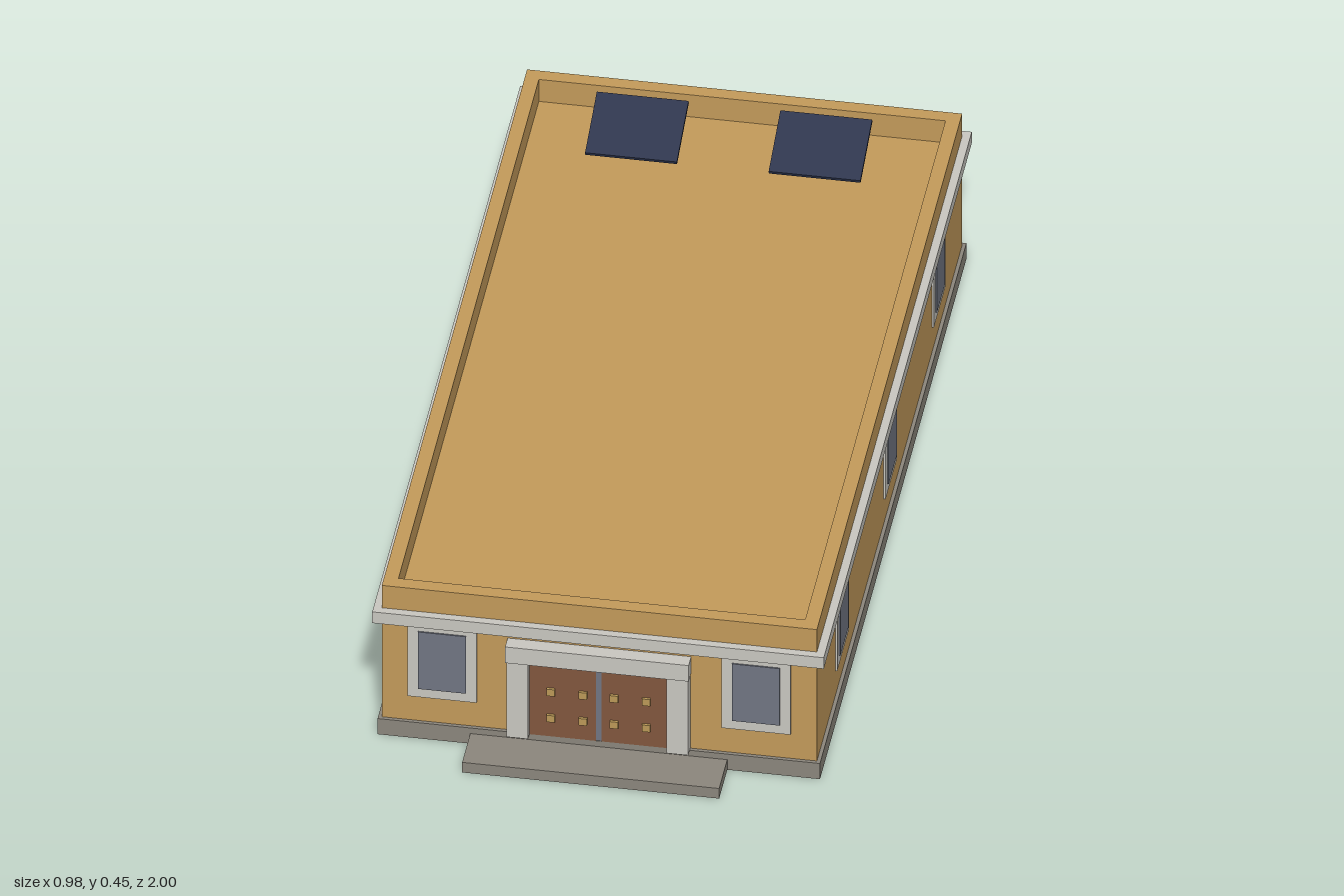
import * as THREE from 'three';

const mat = (name, color) => {
  const m = new THREE.MeshStandardMaterial({ color });
  m.name = name;
  return m;
};

export function createModel() {
  const ochre = mat('ochre wall', 0xc49b5b);
  const stone = mat('light stone', 0xcac8c1);
  const plinthGrey = mat('plinth grey', 0x8c877d);
  const wood = mat('door wood', 0x82573e);
  const glass = mat('window glass', 0x717683);
  const brass = mat('brass', 0xbc9a58);
  const panelBlue = mat('solar panel blue', 0x2a324c);

  const model = new THREE.Group();
  model.name = 'building';

  // Box given by its extents on each axis
  const box = (name, material, [x0, x1], [y0, y1], [z0, z1], parent = model) => {
    const mesh = new THREE.Mesh(new THREE.BoxGeometry(x1 - x0, y1 - y0, z1 - z0), material);
    mesh.position.set((x0 + x1) / 2, (y0 + y1) / 2, (z0 + z1) / 2);
    mesh.name = name;
    parent.add(mesh);
    return mesh;
  };

  const midZ = -0.0475, halfX = 0.474, halfZ = 0.935;
  const front = midZ + halfZ;
  const around = (grow) => [
    [-halfX - grow, halfX + grow],
    [midZ - halfZ - grow, midZ + halfZ + grow],
  ];
  const slab = (name, material, grow, y) => {
    const [x, z] = around(grow);
    return box(name, material, x, y, z);
  };

  // Main body
  slab('plinth', plinthGrey, 0.008, [0, 0.042]);
  slab('walls', ochre, 0, [0.042, 0.336]);
  box('entranceStep', plinthGrey, [-0.28, 0.28], [0, 0.027], [0.88, 1]);

  // Rectangular ring extruded upward
  const ring = (name, material, outer, inner, y0, y1) => {
    const rect = (path, g) => {
      const [[x0, x1], [z0, z1]] = around(g);
      path.moveTo(x0, -z1).lineTo(x1, -z1).lineTo(x1, -z0).lineTo(x0, -z0).closePath();
      return path;
    };
    const shape = rect(new THREE.Shape(), outer);
    shape.holes.push(rect(new THREE.Path(), inner));
    const geo = new THREE.ExtrudeGeometry(shape, { depth: y1 - y0, bevelEnabled: false });
    geo.rotateX(-Math.PI / 2).translate(0, y0, 0);
    const mesh = new THREE.Mesh(geo, material);
    mesh.name = name;
    model.add(mesh);
  };
  ring('cornice', stone, 0.018, -0.01, 0.305, 0.335);
  ring('parapet', ochre, 0, -0.031, 0.33, 0.395);

  // Windows, built facing +z around the wall plane
  const addWindow = (x, z, turn, framed) => {
    const g = new THREE.Group();
    g.name = 'window';
    if (framed) box('windowFrame', stone, [-0.075, 0.075], [0.108, 0.305], [-0.005, 0.004], g);
    box('windowGlass', glass, [-0.052, 0.052], [0.132, 0.285], [-0.002, 0.007], g);
    g.position.set(x, 0, z);
    g.rotation.y = turn;
    model.add(g);
  };
  for (const s of [-1, 1]) {
    addWindow(s * 0.342, front, 0, true);
    addWindow(s * 0.25, midZ - halfZ, Math.PI, false);
    for (const dz of [-0.622, 0, 0.622]) addWindow(s * halfX, midZ + dz, s * Math.PI / 2, true);
  }

  // Entrance
  const entrance = new THREE.Group();
  entrance.name = 'entrance';
  model.add(entrance);
  box('lintel', stone, [-0.2, 0.2], [0.245, 0.288], [0.88, 0.92], entrance);
  box('doorGap', glass, [-0.006, 0.006], [0.042, 0.245], [0.885, 0.894], entrance);
  for (const s of [-1, 1]) {
    const span = (a, b) => [Math.min(s * a, s * b), Math.max(s * a, s * b)];
    box('doorPillar', stone, span(0.151, 0.198), [0.042, 0.245], [0.88, 0.914], entrance);
    box('doorLeaf', wood, span(0.006, 0.151), [0.042, 0.245], [0.882, 0.896], entrance);
    for (const x of [0.034, 0.104])
      for (const y of [0.093, 0.163])
        box('doorStud', brass, span(x - 0.009, x + 0.009), [y - 0.009, y + 0.009], [0.894, 0.902], entrance);

    // Tilted rooftop panel
    const panel = box('solarPanel', panelBlue, [-0.1, 0.1], [-0.004, 0.004], [-0.08, 0.08]);
    panel.position.set(s * 0.2, 0.424, -0.778);
    panel.rotation.x = 0.33;
  }
  return model;
}
